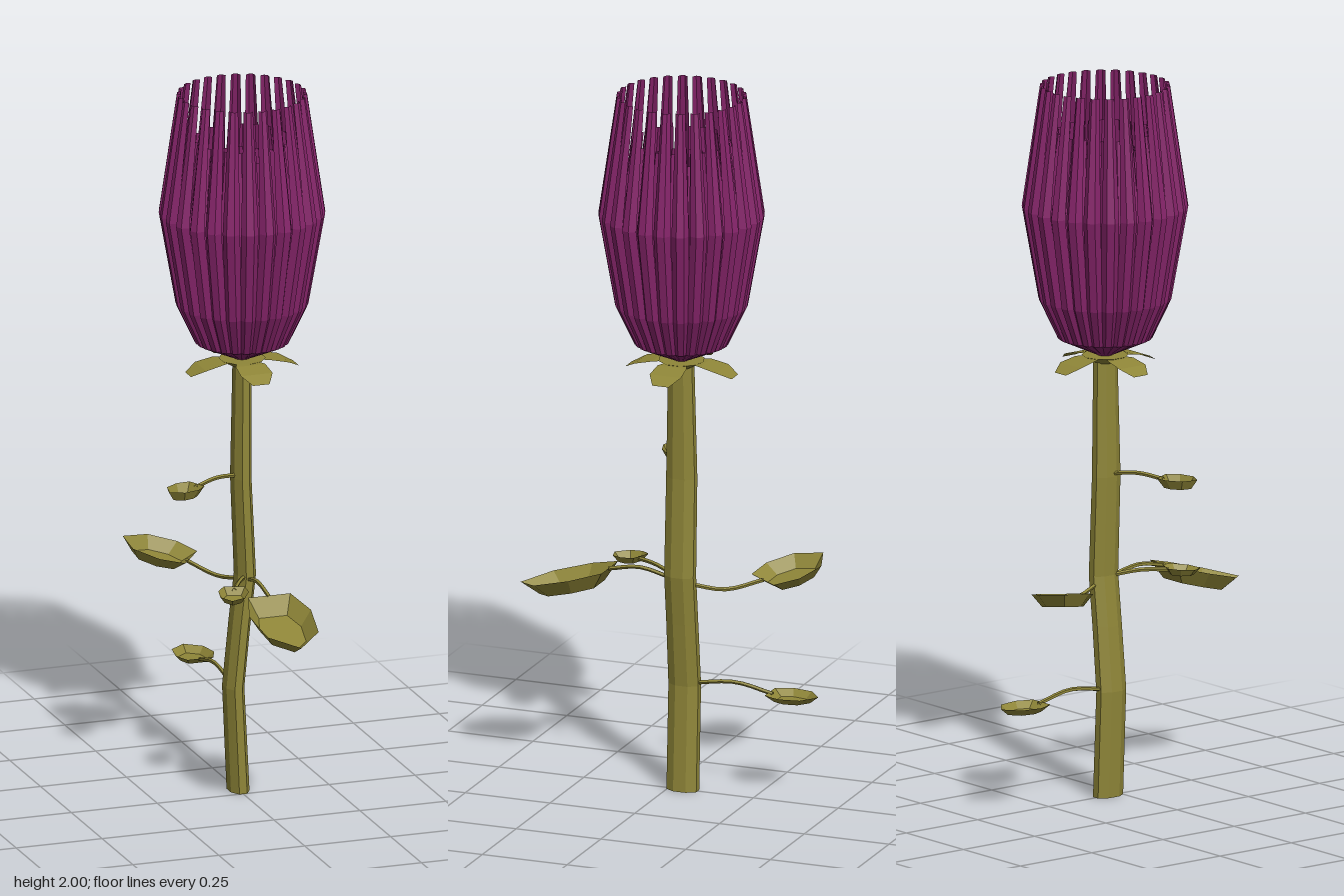
import * as THREE from 'three';

const green = new THREE.MeshStandardMaterial({ color: 0x8f8638, flatShading: true, side: THREE.DoubleSide });
const purple = new THREE.MeshStandardMaterial({ color: 0x86246a, flatShading: true, side: THREE.DoubleSide });
const FLOWER = new THREE.Vector3(0.012, 1.24, -0.043);

function named(geometry, material, name) {
  const mesh = new THREE.Mesh(geometry, material);
  mesh.name = name;
  return mesh;
}

// Skin a list of equal-length cross-sections; closed joins each section into a loop
function loft(sections, closed = false, caps = false) {
  const n = sections[0].length, position = sections.flat(2), index = [];
  for (let i = 0; i < sections.length - 1; i++) {
    for (let j = 0; j < (closed ? n : n - 1); j++) {
      const a = i * n + j, b = i * n + (j + 1) % n;
      index.push(a, a + n, b, b, a + n, b + n);
    }
  }
  if (caps) {
    const last = (sections.length - 1) * n;
    for (let j = 1; j < n - 1; j++) index.push(0, j, j + 1, last, last + j + 1, last + j);
  }
  const g = new THREE.BufferGeometry();
  g.setAttribute('position', new THREE.Float32BufferAttribute(position, 3));
  g.setIndex(index);
  const flat = g.toNonIndexed();
  flat.computeVertexNormals();
  return flat;
}

// Bent eight-sided stem, deeper than it is wide: [x, y, halfX, halfZ]
function makeStem() {
  const rows = [
    [0, 0, 0.027, 0.044], [-0.014, 0.3, 0.026, 0.044], [0.004, 0.48, 0.026, 0.043],
    [0.02, 0.62, 0.026, 0.043], [0.008, 0.9, 0.025, 0.042], [0.012, 1.235, 0.023, 0.035],
  ];
  const sections = rows.map(([x, y, hx, hz]) => Array.from({ length: 8 }, (_, i) => {
    const a = (i + 0.5) * Math.PI / 4;
    return [x + Math.cos(a) * hx * 1.08, y, -0.042 + Math.sin(a) * hz * 1.08];
  }));
  return named(loft(sections, true, true), green, 'stem');
}

// Shallow dish leaf, tip along +z
const LEAF = [[0, 1], [0.82, 0.5], [1, -0.3], [0.68, -0.95], [-0.68, -0.95], [-1, -0.3], [-0.82, 0.5]];
function makeLeaf({ at, length, width, depth, yaw, pitch, stalk }) {
  const ring = (s, y) => LEAF.map(([x, z]) => [x * width * s, y, z * length * s]);
  const blade = named(loft([ring(1, 0), ring(0.67, -depth), ring(0, -depth)], true), green, 'leafBlade');
  blade.position.set(...at);
  blade.rotation.set(pitch, yaw, 0, 'YXZ');
  const curve = new THREE.CatmullRomCurve3(stalk.map(p => new THREE.Vector3(...p)));
  const group = new THREE.Group();
  group.name = 'leaf';
  group.add(blade, named(new THREE.TubeGeometry(curve, 8, 0.006, 5), green, 'leafStalk'));
  return group;
}

// Petal strip with a folded cross-section; rows are [radius, height, halfWidth]
function petalGeometry(rows) {
  const fold = [[-1, -0.75], [-0.45, 0], [0.45, 0], [1, -0.75]];
  return loft(rows.map(([r, y, w]) => fold.map(([x, d]) => [x * w, y, r + d * w])));
}

function makeRing(name, count, rows, offset) {
  const group = new THREE.Group();
  group.name = name;
  const geometry = petalGeometry(rows);
  for (let i = 0; i < count; i++) {
    const petal = named(geometry, purple, 'petal');
    petal.rotation.y = (i + offset) / count * Math.PI * 2;
    group.add(petal);
  }
  return group;
}

function makeFlower() {
  const flower = new THREE.Group();
  flower.name = 'flower';
  flower.position.copy(FLOWER);
  flower.add(
    makeRing('outerPetals', 26, [
      [0.02, 0, 0.006], [0.13, 0.05, 0.017], [0.182, 0.16, 0.022],
      [0.228, 0.42, 0.024], [0.178, 0.76, 0.013]], 0),
    makeRing('middlePetals', 24, [
      [0.02, 0.02, 0.006], [0.1, 0.07, 0.015], [0.14, 0.18, 0.019],
      [0.168, 0.4, 0.02], [0.135, 0.63, 0.012]], 0.5),
    makeRing('innerPetals', 20, [
      [0.02, 0.03, 0.006], [0.07, 0.08, 0.012], [0.1, 0.2, 0.016],
      [0.11, 0.38, 0.016], [0.085, 0.58, 0.01]], 0),
    makeRing('centrePetals', 12, [
      [0.012, 0.03, 0.005], [0.04, 0.1, 0.011], [0.055, 0.22, 0.014],
      [0.055, 0.36, 0.013], [0.035, 0.5, 0.007]], 0.5),
  );

  // Cup under the petals
  const cup = named(new THREE.CylinderGeometry(0.065, 0.03, 0.02, 10), green, 'cup');
  cup.position.y = -0.01;
  flower.add(cup);

  // Four sepals drooping outwards
  const rows = [[0.02, 0, 0.02], [0.07, -0.002, 0.043], [0.12, -0.013, 0.046], [0.157, -0.032, 0.024]];
  const geometry = loft(rows.map(([r, y, w]) => [-1, 0, 1].map(x => [x * w, y, r])));
  for (let i = 0; i < 4; i++) {
    const sepal = named(geometry, green, 'sepal');
    sepal.rotation.y = i * Math.PI / 2;
    flower.add(sepal);
  }
  return flower;
}

export function createModel() {
  const model = new THREE.Group();
  model.name = 'flowerOnStem';
  model.add(makeStem(), makeFlower());
  const leaves = [
    // large front leaf
    { at: [0.016, 0.583, 0.295], length: 0.14, width: 0.09, depth: 0.042, yaw: 0, pitch: 0.27,
      stalk: [[0.02, 0.61, -0.02], [0.016, 0.63, 0.08], [0.016, 0.615, 0.17]] },
    // small front leaf
    { at: [-0.083, 0.63, 0.152], length: 0.052, width: 0.042, depth: 0.02, yaw: -0.4, pitch: 0.1,
      stalk: [[0.015, 0.615, -0.03], [-0.03, 0.628, 0.05], [-0.068, 0.626, 0.115]] },
    // broad back leaf
    { at: [-0.137, 0.632, -0.31], length: 0.103, width: 0.085, depth: 0.034, yaw: -2.2, pitch: -0.22,
      stalk: [[0.018, 0.6, -0.06], [-0.02, 0.583, -0.16], [-0.075, 0.605, -0.25]] },
    // low back leaf
    { at: [-0.02, 0.304, -0.36], length: 0.073, width: 0.056, depth: 0.019, yaw: Math.PI, pitch: 0,
      stalk: [[-0.014, 0.305, -0.06], [-0.015, 0.322, -0.19], [-0.018, 0.3, -0.3]] },
    // high side leaf
    { at: [-0.193, 0.916, 0.052], length: 0.056, width: 0.043, depth: 0.027, yaw: -1.13, pitch: 0,
      stalk: [[0.008, 0.905, -0.04], [-0.08, 0.917, 0], [-0.15, 0.908, 0.032]] },
  ];
  leaves.forEach(leaf => model.add(makeLeaf(leaf)));
  return model;
}
